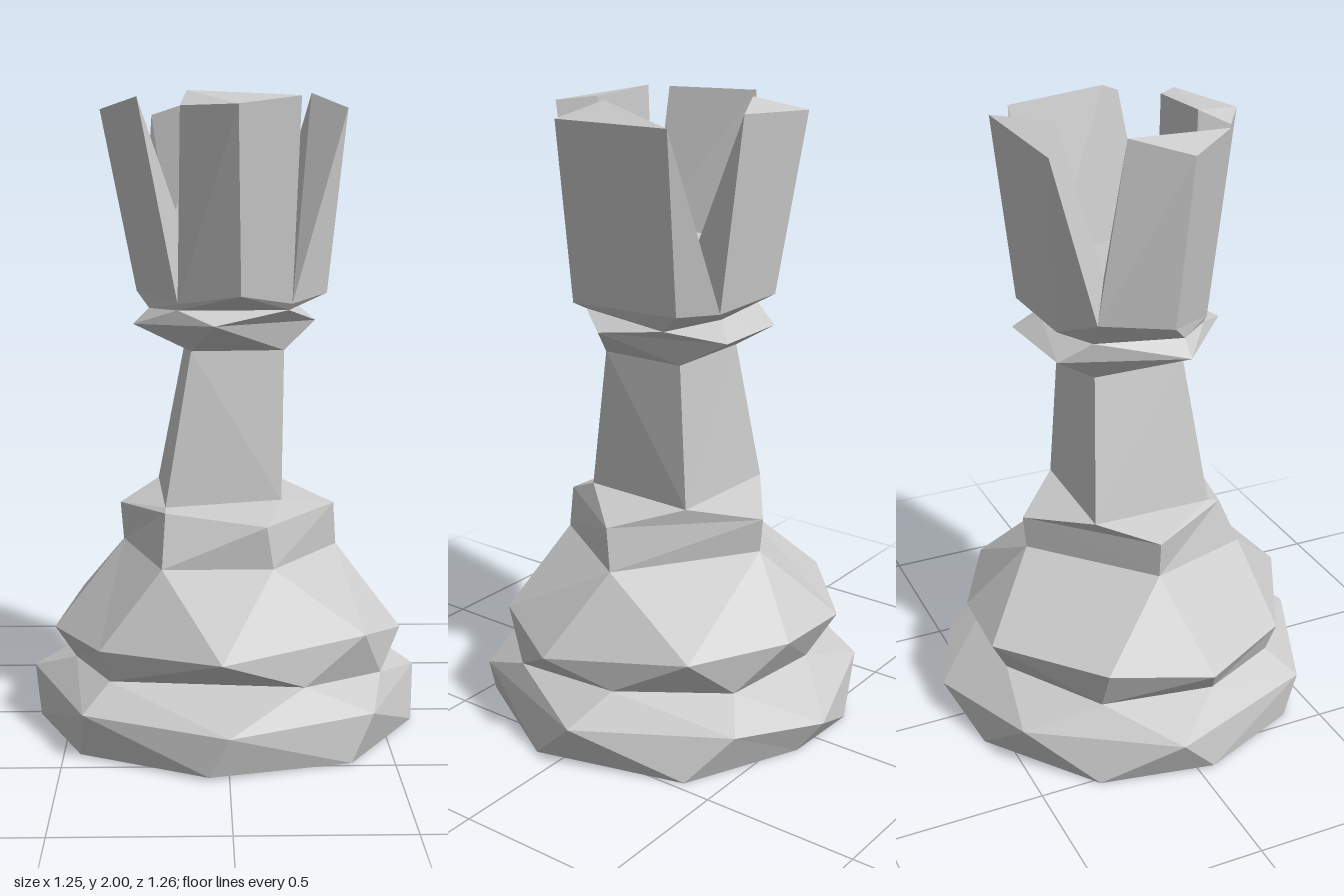
import * as THREE from 'three';
import { ConvexGeometry } from 'three/addons/geometries/ConvexGeometry.js';

const material = new THREE.MeshStandardMaterial({ color: 0xcccccc, flatShading: true });

// Sort a ring of [x, y, z] corners by their angle around the vertical axis
const angle = (p) => Math.atan2(p[0], p[2]);
const sorted = (ring) => [...ring].sort((a, b) => angle(a) - angle(b));

// Stitch two rings with different corner counts into a band of triangles
function stitch(lowRing, highRing, out) {
  const low = sorted(lowRing), high = sorted(highRing);
  const at = (r, i) => r[i % r.length];
  const turn = (r, i) => angle(at(r, i)) + 2 * Math.PI * Math.floor(i / r.length);
  const mid = (r, i) => turn(r, i) + turn(r, i + 1);
  let i = 0, j = 0;
  while (i < low.length || j < high.length) {
    const stepLow = j >= high.length || (i < low.length && mid(low, i) < mid(high, j));
    if (stepLow) {
      out.push(...at(low, i), ...at(low, i + 1), ...at(high, j));
      i++;
    } else {
      out.push(...at(low, i), ...at(high, j + 1), ...at(high, j));
      j++;
    }
  }
}

// Close a ring with a fan around its centre
function cap(ring, up, out) {
  const r = sorted(ring);
  const c = [0, 1, 2].map((k) => r.reduce((s, p) => s + p[k], 0) / r.length);
  r.forEach((p, i) => {
    const q = r[(i + 1) % r.length];
    out.push(...c, ...(up ? p : q), ...(up ? q : p));
  });
}

function loft(name, rings, { bottom = false, top = false } = {}) {
  const out = [];
  for (let i = 0; i + 1 < rings.length; i++) stitch(rings[i], rings[i + 1], out);
  if (bottom) cap(rings[0], false, out);
  if (top) cap(rings[rings.length - 1], true, out);
  const geometry = new THREE.BufferGeometry();
  geometry.setAttribute('position', new THREE.Float32BufferAttribute(out, 3));
  geometry.computeVertexNormals();
  const mesh = new THREE.Mesh(geometry, material);
  mesh.name = name;
  return mesh;
}

function hull(name, points) {
  const mesh = new THREE.Mesh(new ConvexGeometry(points.map((p) => new THREE.Vector3(...p))), material);
  mesh.name = name;
  return mesh;
}

export function createModel() {
  const model = new THREE.Group();
  model.name = 'rook';

  // Foot, widest disc on the ground
  const foot = [[-0.06, 0.01, 0.615], [0.37, 0, 0.48], [0.6, 0, 0.09], [0.47, 0, -0.39], [0.1, 0, -0.56],
    [-0.17, 0, -0.57], [-0.52, 0, -0.31], [-0.6, 0.01, 0.05], [-0.45, 0, 0.39]];
  const footRim = [[0, 0.13, 0.63], [0.44, 0.14, 0.44], [0.625, 0.14, -0.06], [0.36, 0.14, -0.5],
    [0.06, 0.1, -0.63], [-0.35, 0.14, -0.5], [-0.63, 0.14, -0.07], [-0.44, 0.14, 0.44]];
  const groove = [[0.23, 0.23, 0.46], [0.48, 0.21, 0.25], [0.48, 0.23, -0.12], [0.25, 0.22, -0.42],
    [-0.1, 0.22, -0.46], [-0.42, 0.22, -0.26], [-0.48, 0.22, 0.1], [-0.36, 0.22, 0.36]];

  // Flared skirt and five-sided collar
  const flare = [[-0.02, 0.33, 0.57], [0.42, 0.36, 0.36], [0.56, 0.31, 0.09], [0.41, 0.36, -0.36],
    [0.1, 0.36, -0.52], [-0.17, 0.36, -0.53], [-0.48, 0.36, -0.26], [-0.55, 0.31, 0.07], [-0.39, 0.32, 0.38]];
  const collarLow = [[-0.2, 0.56, 0.33], [0.14, 0.56, 0.33], [0.36, 0.56, -0.02], [0, 0.59, -0.34],
    [-0.33, 0.58, -0.02]];
  const collarHigh = [[-0.19, 0.72, 0.26], [0.12, 0.69, 0.33], [0.35, 0.7, 0], [0, 0.7, -0.35],
    [-0.34, 0.7, -0.02]];

  // Four-sided tapered column
  const columnLow = [[-0.19, 0.73, 0.22], [0.17, 0.75, 0.2], [0.18, 0.75, -0.18], [-0.22, 0.75, -0.19]];
  const columnHigh = [[-0.11, 1.21, 0.16], [0.18, 1.21, 0.13], [0.17, 1.21, -0.15], [-0.13, 1.21, -0.15]];

  // Ring, rim and raised floor below the battlements
  const ringEdge = [[-0.04, 1.3, 0.32], [0.28, 1.3, 0.08], [0.15, 1.3, -0.31], [-0.15, 1.29, -0.28],
    [-0.29, 1.29, 0.1]];
  const neck = [[-0.15, 1.34, 0.21], [0.19, 1.34, 0.2], [0.24, 1.33, -0.14], [0.08, 1.35, -0.24],
    [-0.19, 1.35, -0.18], [-0.24, 1.34, 0.1]];
  const [rimFront, rimFrontLeft, rimLeft, rimBackLeft, rimCorner, rimBack, rimGusset, rimRight, rimFrontRight] = [
    [0.04, 1.39, 0.33], [0.2, 1.36, 0.21], [0.31, 1.39, 0.15], [0.27, 1.39, -0.21], [0.16, 1.39, -0.29],
    [-0.15, 1.39, -0.28], [-0.27, 1.44, -0.2], [-0.28, 1.39, 0.05], [-0.15, 1.36, 0.22]];
  const rim = [rimFront, rimFrontLeft, rimLeft, rimBackLeft, rimCorner, rimBack, rimGusset, rimRight, rimFrontRight];
  const [floorFR, floorFL, floorL, floorBL, floorBR] = [
    [-0.12, 1.54, 0.175], [0.13, 1.54, 0.18], [0.2, 1.52, 0.08], [0.14, 1.52, -0.165], [-0.18, 1.55, -0.14]];

  model.add(
    loft('foot', [foot, footRim, groove], { bottom: true }),
    loft('skirt', [groove, flare, collarLow]),
    loft('collar', [collarLow, collarHigh, columnLow]),
    loft('column', [columnLow, columnHigh]),
    loft('crownBase', [columnHigh, ringEdge, neck, rim, [floorFR, floorFL, floorL, floorBL, floorBR]], { top: true }),
  );

  // Four leaning battlements: top corners, then the rim and floor corners they stand on
  const battlements = {
    frontBattlement: [[-0.14, 1.95, 0.29], [0.03, 1.95, 0.4], [0.22, 1.98, 0.28], [-0.12, 2, 0.19],
      [0.13, 1.99, 0.19], rimFrontRight, rimFront, rimFrontLeft, floorFL, floorFR],
    backBattlement: [[-0.24, 1.95, -0.33], [0.15, 1.98, -0.36], [-0.07, 2, -0.24],
      rimGusset, rimBack, rimCorner, floorBL, floorBR],
    leftBattlement: [[0.265, 2, 0.055], [0.37, 1.95, 0.155], [0.34, 1.95, -0.23],
      rimFrontLeft, rimLeft, rimBackLeft, rimCorner, floorL, floorBL],
    rightBattlement: [[-0.39, 1.95, 0.05], [-0.28, 1.99, -0.11], [-0.27, 1.98, 0.22],
      rimFrontRight, rimRight, rimGusset, floorBR, floorFR],
  };
  for (const [name, points] of Object.entries(battlements)) model.add(hull(name, points));

  return model;
}
